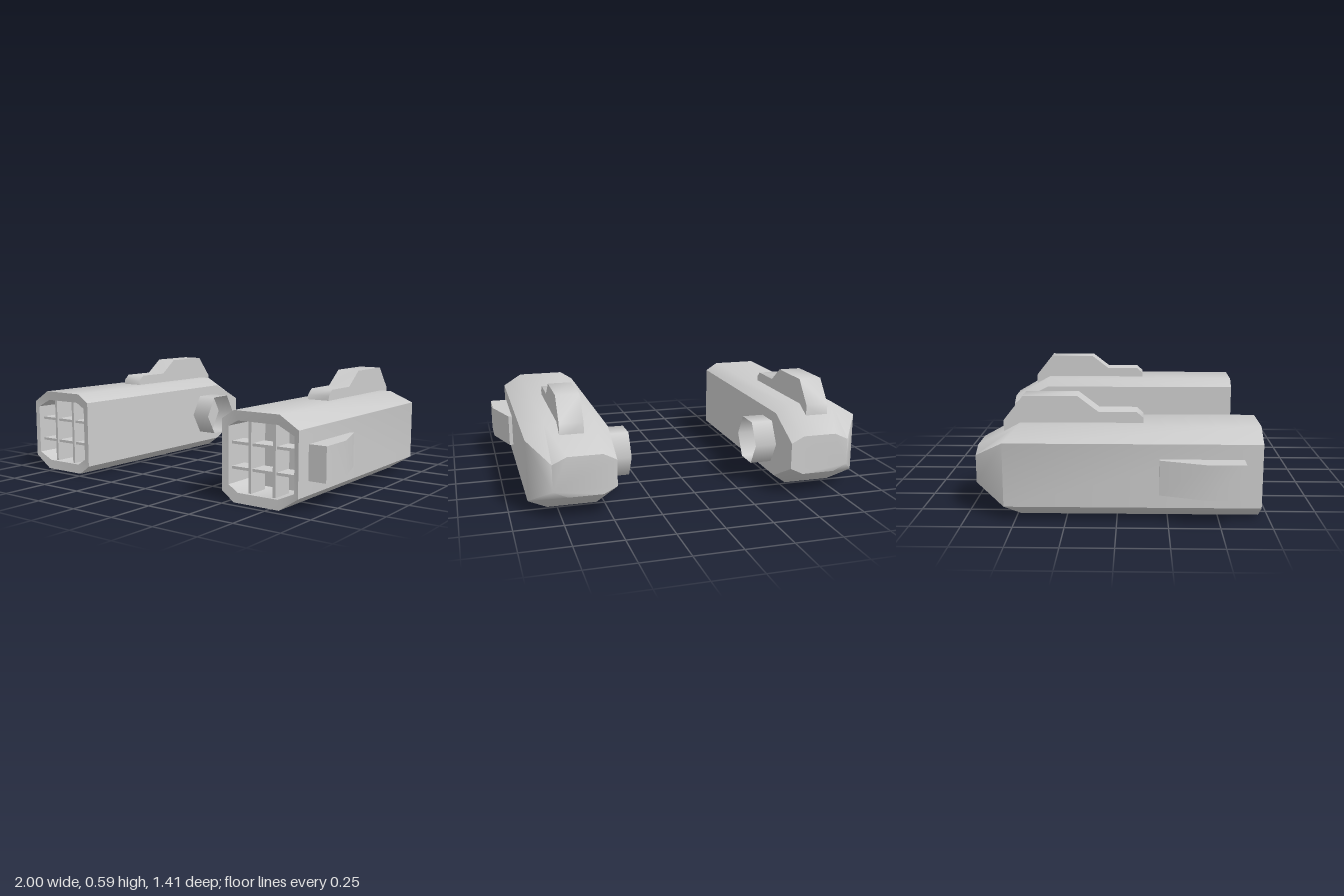
import * as THREE from 'three';
import { toCreasedNormals } from 'three/addons/utils/BufferGeometryUtils.js';

const grey = new THREE.MeshStandardMaterial({ color: 0xcccccc });
const greyThin = new THREE.MeshStandardMaterial({ color: 0xcccccc, side: THREE.DoubleSide });

// Skin a list of rings (counter-clockwise seen from +z) and close both ends
function loft(rings) {
  const n = rings[0].length;
  const position = rings.flat(2);
  const index = [];
  for (let r = 0; r < rings.length - 1; r++) {
    for (let i = 0; i < n; i++) {
      const j = (i + 1) % n;
      const a = r * n + i, b = r * n + j, c = a + n, d = b + n;
      index.push(a, b, d, a, d, c);
    }
  }
  const last = (rings.length - 1) * n;
  for (let i = 1; i < n - 1; i++) {
    index.push(0, i + 1, i);
    index.push(last, last + i, last + i + 1);
  }
  const g = new THREE.BufferGeometry();
  g.setAttribute('position', new THREE.Float32BufferAttribute(position, 3));
  g.setIndex(index);
  return toCreasedNormals(g, 0.95);
}

// Mirror a geometry in x, keeping its faces turned outwards
function mirrored(source) {
  const g = source.index ? source.toNonIndexed() : source.clone();
  g.scale(-1, 1, 1);
  for (const attribute of Object.values(g.attributes)) {
    const { array, itemSize: s } = attribute;
    for (let t = 0; t < array.length; t += 3 * s) {
      for (let k = 0; k < s; k++) {
        const keep = array[t + s + k];
        array[t + s + k] = array[t + 2 * s + k];
        array[t + 2 * s + k] = keep;
      }
    }
  }
  return g;
}

function extrude(points, depth) {
  const shape = new THREE.Shape(points.map(([x, y]) => new THREE.Vector2(x, y)));
  return new THREE.ExtrudeGeometry(shape, { depth, bevelEnabled: false });
}

const box = (w, h, d, x, y, z) => new THREE.BoxGeometry(w, h, d).translate(x, y, z);

// Octagonal hull with tapered tail, thick front rim and recessed intake
function hullGeometry() {
  const outer = [[0.905, 0.07], [0.905, 0.39], [0.8, 0.455], [0.54, 0.455],
    [0.47, 0.41], [0.47, 0.05], [0.54, 0], [0.8, 0]];
  const tail = [[0.795, 0.16], [0.795, 0.3], [0.72, 0.335], [0.54, 0.335],
    [0.47, 0.3], [0.47, 0.16], [0.54, 0.125], [0.72, 0.125]];
  const opening = [[0.88, 0.09], [0.88, 0.36], [0.79, 0.405], [0.56, 0.405],
    [0.505, 0.375], [0.505, 0.085], [0.56, 0.05], [0.79, 0.05]];
  const at = (ring, z) => ring.map(([x, y]) => [x, y, z]);
  const shoulder = outer.map(([x, y]) => [x, y, x > 0.9 ? -0.555 : -0.485]);
  return loft([at(tail, -0.705), shoulder, at(outer, 0.705), at(opening, 0.7), at(opening, 0.5)]);
}

// Stepped fairing on top, drawn in (z, y) and extruded across x
function fairingGeometry() {
  const g = extrude([[0.13, 0.4], [0.13, 0.48], [0.095, 0.51], [-0.095, 0.51],
    [-0.2, 0.59], [-0.47, 0.59], [-0.57, 0.465], [-0.57, 0.38]], 0.125);
  g.rotateY(-Math.PI / 2).translate(0.735, 0, 0);
  return toCreasedNormals(g, 0.95);
}

// Wedge on the outer flank, drawn in (x, -z) and extruded upwards
function sidePodGeometry() {
  const g = extrude([[0.88, -0.615], [1, -0.615], [1, -0.43], [0.925, -0.205], [0.88, -0.205]], 0.175);
  g.rotateX(-Math.PI / 2).translate(0, 0.14, 0);
  return toCreasedNormals(g, 0.95);
}

// Open six-sided coupling on the inner flank
function couplingGeometry() {
  const g = new THREE.CylinderGeometry(0.136, 0.136, 0.125, 6, 1, true);
  return g.rotateZ(Math.PI / 2).translate(0.4125, 0.235, -0.367);
}

export function createModel() {
  const parts = [
    ['hull', hullGeometry(), grey],
    ['topFairing', fairingGeometry(), grey],
    ['sidePod', sidePodGeometry(), grey],
    ['coupling', couplingGeometry(), greyThin],
  ];
  // Intake grille
  for (const x of [0.617, 0.757]) parts.push(['verticalVane', box(0.016, 0.355, 0.12, x, 0.2275, 0.62), grey]);
  for (const y of [0.165, 0.29]) parts.push(['horizontalVane', box(0.375, 0.014, 0.1, 0.6925, y, 0.62), grey]);

  const model = new THREE.Group();
  model.name = 'engineNacelles';
  for (const side of ['left', 'right']) {
    const nacelle = new THREE.Group();
    nacelle.name = side + 'Nacelle';
    for (const [name, geometry, material] of parts) {
      const mesh = new THREE.Mesh(side === 'left' ? geometry : mirrored(geometry), material);
      mesh.name = name;
      nacelle.add(mesh);
    }
    model.add(nacelle);
  }
  return model;
}
